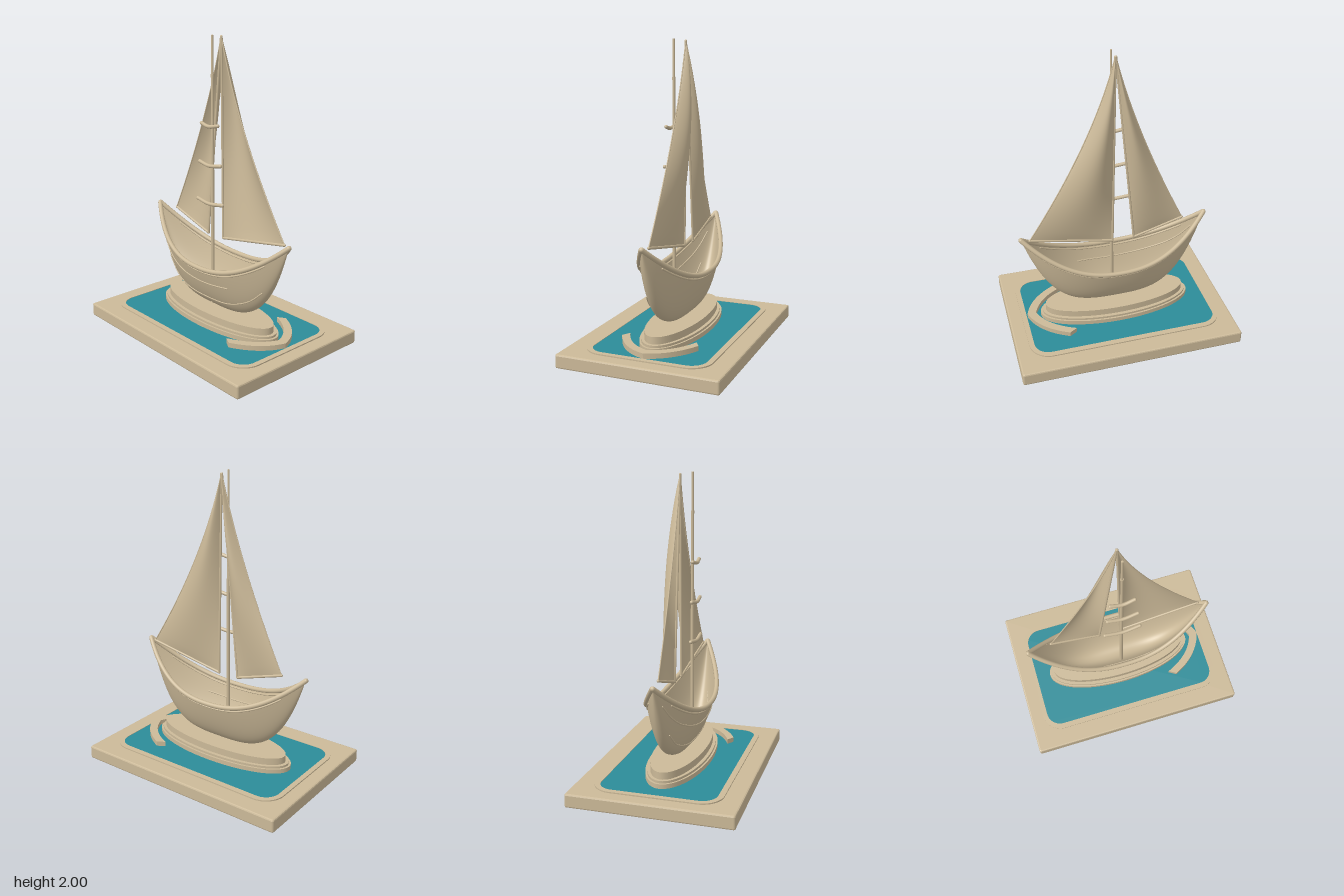
import * as THREE from 'three';

const sand = new THREE.MeshStandardMaterial({ color: 0xcbb998 });
sand.name = 'sand';
const sandSheet = new THREE.MeshStandardMaterial({ color: 0xcbb998, side: THREE.DoubleSide });
sandSheet.name = 'sandSheet';
const teal = new THREE.MeshStandardMaterial({ color: 0x2c8c98 });
teal.name = 'teal';

const V = (x, y, z) => new THREE.Vector3(x, y, z);

function part(name, geometry, material = sand) {
  const mesh = new THREE.Mesh(geometry, material);
  mesh.name = name;
  return mesh;
}

// Rounded rod through points, with ball ends
function rod(name, points, r, segments = 64) {
  const group = new THREE.Group();
  group.name = name;
  const curve = new THREE.CatmullRomCurve3(points);
  group.add(part(name + 'Rod', new THREE.TubeGeometry(curve, segments, r, 10)));
  for (const p of [points[0], points[points.length - 1]]) {
    const end = part(name + 'End', new THREE.SphereGeometry(r, 10, 8));
    end.position.copy(p);
    group.add(end);
  }
  return group;
}

// Smooth sheet from a function of (u, v)
function sheet(fn, nu, nv) {
  const pos = [], index = [];
  for (let i = 0; i <= nu; i++) {
    for (let j = 0; j <= nv; j++) {
      pos.push(...fn(i / nu, j / nv).toArray());
      if (i < nu && j < nv) {
        const a = i * (nv + 1) + j, b = a + nv + 1;
        index.push(a, b, a + 1, b, b + 1, a + 1);
      }
    }
  }
  const g = new THREE.BufferGeometry();
  g.setAttribute('position', new THREE.Float32BufferAttribute(pos, 3));
  g.setIndex(index);
  g.computeVertexNormals();
  return g;
}

function roundRect(w, d, r, Type = THREE.Shape) {
  const s = new Type();
  s.moveTo(-w + r, -d);
  s.lineTo(w - r, -d);
  s.absarc(w - r, -d + r, r, -Math.PI / 2, 0);
  s.absarc(w - r, d - r, r, 0, Math.PI / 2);
  s.absarc(-w + r, d - r, r, Math.PI / 2, Math.PI);
  s.absarc(-w + r, -d + r, r, Math.PI, Math.PI * 1.5);
  return s;
}

// Flat slab lying on height y0
function slab(shape, y0, height, bevel = 0) {
  const g = new THREE.ExtrudeGeometry(shape, {
    depth: height - 2 * bevel, curveSegments: 24, bevelEnabled: bevel > 0,
    bevelSize: bevel, bevelThickness: bevel, bevelSegments: 2,
  });
  return g.rotateX(-Math.PI / 2).translate(0, y0 + bevel, 0);
}

// Hull rules: sheer height, keel height, half width, and side surface
const L = 0.635, FULL = 2.3;
const sheerY = x => 0.5 + 0.265 * Math.pow(Math.abs(x) / L, 2.3);
const keelY = x => 0.19 + 0.575 * Math.pow(Math.abs(x) / L, 3.6);
const halfW = x => 0.185 * Math.max(0, 1 - Math.pow(Math.abs(x) / L, 2.3));
const sideZ = (x, y) =>
  halfW(x) * Math.pow(Math.max(0, (y - keelY(x)) / (sheerY(x) - keelY(x))), 1 / FULL);

function buildBase(model) {
  const base = new THREE.Group();
  base.name = 'base';
  base.add(part('basePlate', slab(roundRect(0.75, 0.525, 0.004), 0, 0.09, 0.01)));
  base.add(part('water', slab(roundRect(0.64, 0.385, 0.1), 0.088, 0.007), teal));
  const frame = roundRect(0.67, 0.415, 0.14);
  frame.holes.push(roundRect(0.635, 0.378, 0.1, THREE.Path));
  base.add(part('waterFrame', slab(frame, 0.088, 0.01)));

  // Oval pedestal tiers: half length, half depth, bottom, top
  for (const [a, b, y0, y1] of [[0.535, 0.2, 0.09, 0.125], [0.52, 0.188, 0.12, 0.14], [0.497, 0.165, 0.13, 0.187]]) {
    const g = new THREE.CylinderGeometry(1, 1, y1 - y0, 72);
    base.add(part('pedestalTier', g.scale(a, 1, b).translate(0, (y0 + y1) / 2, 0)));
  }

  // Bow waves sweeping back on both sides
  for (const s of [1, -1]) {
    const wave = new THREE.Shape();
    wave.moveTo(0.33, 0.23 * s);
    wave.lineTo(0.383, 0.262 * s);
    wave.quadraticCurveTo(0.58, 0.17 * s, 0.63, 0);
    wave.lineTo(0.57, 0);
    wave.quadraticCurveTo(0.52, 0.15 * s, 0.33, 0.23 * s);
    base.add(part('bowWave', slab(wave, 0.09, 0.038)));
  }
  model.add(base);
}

function buildHull(model) {
  const hull = new THREE.Group();
  hull.name = 'hull';
  hull.add(part('hullShell', sheet((u, v) => {
    const x = L * Math.sin((u - 0.5) * Math.PI), t = v * 2 - 1;
    return V(x, keelY(x) + (sheerY(x) - keelY(x)) * Math.pow(Math.abs(t), FULL), halfW(x) * t);
  }, 72, 32), sandSheet));

  // Rails and rub strips on both sides
  for (const s of [1, -1]) {
    const rail = [], strip = [];
    for (let i = 0; i <= 32; i++) {
      const k = Math.sin((i / 32 - 0.5) * Math.PI), x = L * k, xs = 0.5 * k;
      rail.push(V(x, sheerY(x), s * (halfW(x) + 0.002)));
      const y = sheerY(xs) - 0.027;
      strip.push(V(xs, y, s * sideZ(xs, y)));
    }
    hull.add(rod('rail', rail, 0.016, 96));
    hull.add(rod('rubStrip', strip, 0.006, 80));
  }

  // Plank lines on the front side
  const planks = [
    [[-0.56, 0.635], [-0.48, 0.54], [-0.37, 0.465], [-0.2, 0.41], [0, 0.392], [0.23, 0.408]],
    [[-0.46, 0.42], [-0.36, 0.325], [-0.2, 0.275], [0, 0.265], [0.2, 0.278], [0.36, 0.34], [0.46, 0.425]],
  ];
  for (const line of planks) {
    const path = new THREE.SplineCurve(line.map(p => new THREE.Vector2(...p)));
    hull.add(rod('plankLine', path.getPoints(40).map(p => V(p.x, p.y, sideZ(p.x, p.y))), 0.005, 80));
  }
  model.add(hull);
}

// Billowing sail: head, luff foot (tack), outer corner (clew), leech control point
function sail(name, head, tack, clew, control, depth) {
  const group = new THREE.Group();
  group.name = name;
  const leech = new THREE.QuadraticBezierCurve3(clew, control, head);
  group.add(part(name + 'Cloth', sheet((u, v) => {
    const p = tack.clone().lerp(head, v).lerp(leech.getPoint(v), u);
    p.z -= depth * Math.pow(Math.sin(Math.PI * u), 0.9) * Math.pow(Math.sin(Math.PI * v), 0.8);
    return p;
  }, 28, 40), sandSheet));
  group.add(rod(name + 'Luff', [tack, head], 0.008, 4));
  group.add(rod(name + 'Boom', [tack, clew], 0.009, 4));
  group.add(rod(name + 'Leech', leech.getPoints(16), 0.004, 48));
  return group;
}

function buildRig(model) {
  const rig = new THREE.Group();
  rig.name = 'rig';
  const lower = new THREE.CylinderGeometry(0.009, 0.013, 1.53, 16).translate(0.005, 0.985, 0.06);
  const upper = new THREE.CylinderGeometry(0.007, 0.008, 0.25, 16).translate(0.005, 1.875, 0.06);
  const collar = new THREE.CylinderGeometry(0.011, 0.011, 0.02, 16).translate(0.005, 1.75, 0.06);
  rig.add(part('mastLower', lower), part('mastUpper', upper), part('mastCollar', collar));

  const z = -0.02;
  rig.add(sail('mainSail', V(0, 1.985, z), V(0.02, 0.662, z), V(0.58, 0.765, z), V(0.14, 1.44, z), 0.072));
  rig.add(sail('foreSail', V(-0.003, 1.985, z), V(-0.13, 0.662, z), V(-0.47, 0.765, z), V(-0.13, 1.47, z), 0.058));

  // Curved battens in front of the mast
  for (const [y, x0, x1] of [[0.92, -0.115, 0.125], [1.175, -0.095, 0.105], [1.43, -0.075, 0.08]]) {
    const m = (x0 + x1) / 2;
    rig.add(rod('batten', [V(x0, y + 0.012, 0.083), V(m, y, 0.09), V(x1, y + 0.014, 0.083)], 0.012, 24));
  }
  model.add(rig);
}

export function createModel() {
  const model = new THREE.Group();
  model.name = 'sailboatOnStand';
  buildBase(model);
  buildHull(model);
  buildRig(model);
  return model;
}
